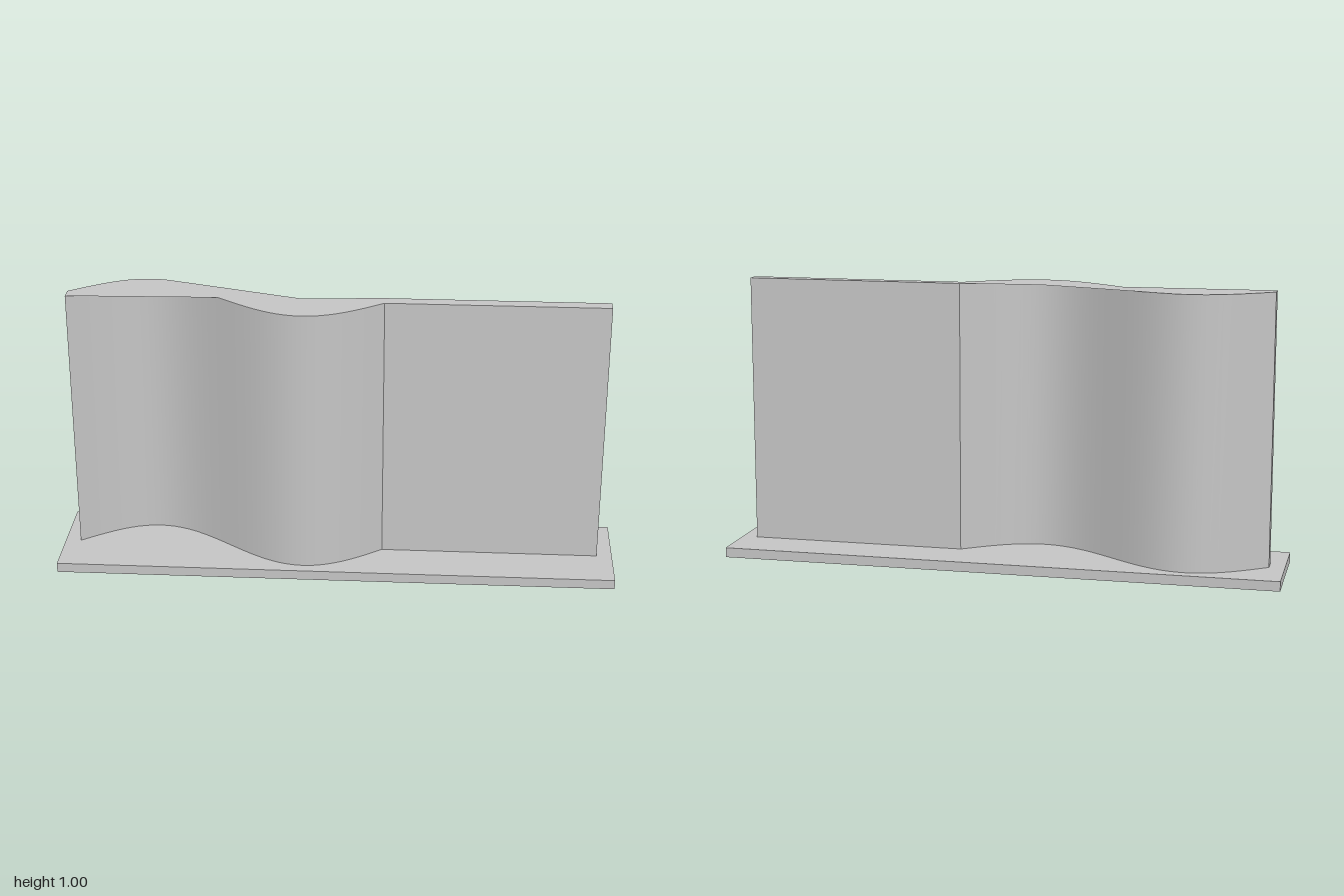
import * as THREE from 'three';

const BASE = 0.035, TOP = 1, H = TOP - BASE;
const X0 = -0.945, X1 = 0.165, X2 = 0.945;   // wave start, wave end, panel end
const HALF = 0.024, AMP = 0.136, STEPS = 40;
const wave = x => -AMP * Math.sin((2 * Math.PI * (x - X0)) / (X1 - X0));

export function createModel() {
  const group = new THREE.Group();
  const grey = new THREE.MeshStandardMaterial({ color: 0xc4c4c4, side: THREE.DoubleSide });
  grey.name = 'plain grey';
  const add = (name, geometry, x = 0, y = 0, z = 0) => {
    const mesh = new THREE.Mesh(geometry, grey);
    mesh.name = name;
    mesh.position.set(x, y, z);
    group.add(mesh);
  };

  // Base plate
  add('basePlate', new THREE.BoxGeometry(2, BASE, 0.4), 0, BASE / 2);

  // Straight half of the wall
  add('straightPanel', new THREE.BoxGeometry(X2 - X1, H, HALF * 2), (X1 + X2) / 2, BASE + H / 2);

  // Waved half: one bent sheet for each side
  for (const side of [1, -1]) {
    const sheet = new THREE.PlaneGeometry(X1 - X0, H, STEPS, 1);
    if (side < 0) sheet.rotateY(Math.PI);
    sheet.translate((X0 + X1) / 2, BASE + H / 2, 0);
    const p = sheet.attributes.position;
    for (let i = 0; i < p.count; i++) p.setZ(i, wave(p.getX(i)) + side * HALF);
    sheet.computeVertexNormals();
    add(side > 0 ? 'waveFront' : 'waveBack', sheet);
  }

  // Narrow end of the wave
  const end = new THREE.PlaneGeometry(HALF * 2, H);
  end.rotateY(-Math.PI / 2);
  add('waveEnd', end, X0, BASE + H / 2);

  // Top cap: a fan from one central point to the wall outline, overhanging the hollows
  const front = [], back = [];
  for (let i = 0; i <= STEPS; i++) {
    const x = X0 + ((X1 - X0) * i) / STEPS;
    front.push([x, wave(x) + HALF]);
    back.push([x, wave(x) - HALF]);
  }
  const outline = [...front, [X2, HALF], [X2, -HALF], ...back.reverse()];
  const centre = [-0.128, -0.003];
  const verts = [];
  outline.forEach((a, i) => {
    let b = outline[(i + 1) % outline.length];
    const turn = (a[0] - centre[0]) * (b[1] - centre[1]) - (a[1] - centre[1]) * (b[0] - centre[0]);
    if (turn > 0) [a, b] = [b, a];   // keep every triangle facing up
    for (const [x, z] of [centre, a, b]) verts.push(x, TOP, z);
  });
  const cap = new THREE.BufferGeometry();
  cap.setAttribute('position', new THREE.Float32BufferAttribute(verts, 3));
  cap.computeVertexNormals();
  add('topCap', cap);

  return group;
}
